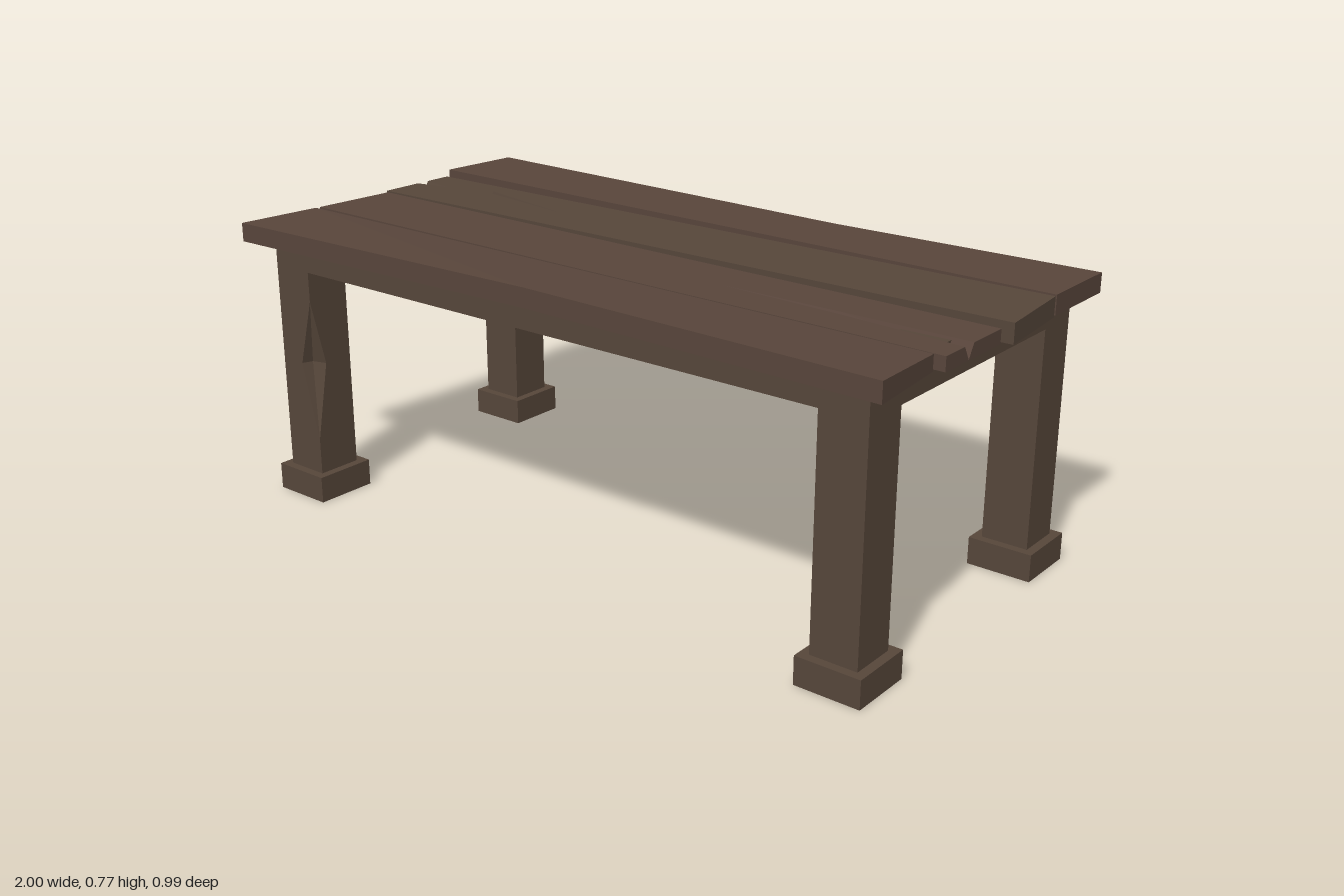
import * as THREE from 'three';

const mat = (color) => new THREE.MeshStandardMaterial({ color, flatShading: true });
const wood = mat(0x56463a);
const woodWarm = mat(0x58453b);

// Closed solid through matching rings of points; flatten maps a ring to its
// counter-clockwise outline as seen from the last ring's side.
function loft(rings, flatten) {
  const n = rings[0].length, index = [];
  for (let s = 0; s < rings.length - 1; s++) {
    for (let i = 0; i < n; i++) {
      const j = (i + 1) % n, a = s * n, b = a + n;
      index.push(a + i, a + j, b + j, a + i, b + j, b + i);
    }
  }
  const cap = (ring) => THREE.ShapeUtils.triangulateShape(ring.map(flatten), []);
  const last = (rings.length - 1) * n;
  for (const [a, b, c] of cap(rings[0])) index.push(c, b, a);
  for (const [a, b, c] of cap(rings.at(-1))) index.push(last + a, last + b, last + c);
  const g = new THREE.BufferGeometry();
  g.setAttribute('position', new THREE.Float32BufferAttribute(rings.flat().flatMap((p) => p.toArray()), 3));
  g.setIndex(index);
  const flat = g.toNonIndexed();
  flat.computeVertexNormals();
  return flat;
}

// Plank section: x and top height at the back and front edges, plus an
// optional V-shaped crack [back lip, front lip, depth].
function plankRing({ x, z, top, base = 0.7, crack }) {
  const at = (pair, zz) => THREE.MathUtils.mapLinear(zz, z[0], z[1], pair[0], pair[1]);
  const pt = (zz, y) => new THREE.Vector3(at(x, zz), y, zz);
  const ring = [pt(z[1], base), pt(z[0], base), pt(z[0], top[0])];
  if (crack) {
    const [a, b, depth] = crack, mid = (a + b) / 2;
    ring.push(pt(a, at(top, a)), pt(mid, at(top, mid) - depth), pt(b, at(top, b)));
  }
  ring.push(pt(z[1], top[1]));
  return ring;
}

const planks = [
  { name: 'backPlank', material: woodWarm, sections: [
    { x: [-0.97, -0.985], z: [-0.495, -0.258], top: [0.768, 0.768], base: 0.718 },
    { x: [0.24, 0.24], z: [-0.468, -0.258], top: [0.757, 0.757], base: 0.707 },
    { x: [0.972, 0.972], z: [-0.495, -0.258], top: [0.75, 0.75] },
  ] },
  { name: 'backMiddlePlank', material: wood, sections: [
    { x: [-0.982, -0.982], z: [-0.245, -0.007], top: [0.75, 0.75], crack: [-0.167, -0.128, 0.04] },
    { x: [-0.74, -0.74], z: [-0.245, -0.007], top: [0.75, 0.75], crack: [-0.192, -0.172, 0.025] },
    { x: [-0.43, -0.43], z: [-0.245, -0.007], top: [0.75, 0.75], crack: [-0.125, -0.125, 0] },
    { x: [0.975, 0.997], z: [-0.245, -0.007], top: [0.75, 0.75] , crack: [-0.125, -0.125, 0] },
  ] },
  { name: 'frontMiddlePlank', material: woodWarm, sections: [
    { x: [-0.965, -0.978], z: [0.005, 0.243], top: [0.75, 0.75], crack: [0.13, 0.13, 0] },
    { x: [0.3, 0.3], z: [0.005, 0.243], top: [0.74, 0.74], crack: [0.13, 0.13, 0] },
    { x: [0.65, 0.65], z: [0.005, 0.243], top: [0.738, 0.738], crack: [0.128, 0.145, 0.012] },
    { x: [0.972, 0.972], z: [0.005, 0.243], top: [0.735, 0.735], crack: [0.125, 0.165, 0.034] },
  ] },
  { name: 'frontPlank', material: woodWarm, sections: [
    { x: [-0.98, -1], z: [0.256, 0.49], top: [0.75, 0.75] },
    { x: [-0.01, -0.01], z: [0.256, 0.462], top: [0.745, 0.75] },
    { x: [0.95, 0.972], z: [0.256, 0.49], top: [0.739, 0.75] },
  ] },
];

// Leg whose inner front edge is hacked away around mid height.
function chippedLeg() {
  const rings = [[0.07, 0], [0.17, 0], [0.38, 1], [0.56, 0], [0.7, 0]].map(([y, k]) => [
    [-0.92, 0.447], [-0.797 - 0.05 * k, 0.447], [-0.797 - 0.04 * k, 0.447 - 0.028 * k],
    [-0.797, 0.447 - 0.04 * k], [-0.797, 0.324], [-0.92, 0.324],
  ].map(([x, z]) => new THREE.Vector3(x, y, z)));
  return loft(rings, (p) => new THREE.Vector2(p.x, -p.z));
}

export function createModel() {
  const group = new THREE.Group();
  const add = (name, geometry, material = wood, x = 0, y = 0, z = 0) => {
    const mesh = new THREE.Mesh(geometry, material);
    mesh.name = name;
    mesh.position.set(x, y, z);
    group.add(mesh);
  };
  const box = (name, w, h, d, x, y, z) => add(name, new THREE.BoxGeometry(w, h, d), wood, x, y, z);

  // Table top
  for (const { name, material, sections } of planks) {
    add(name, loft(sections.map(plankRing), (p) => new THREE.Vector2(-p.z, p.y)), material);
  }

  // Legs and block feet
  for (const sx of [-1, 1]) {
    for (const sz of [-1, 1]) {
      const label = (sz > 0 ? 'front' : 'back') + (sx > 0 ? 'Left' : 'Right');
      const x = sx * 0.8585, z = sz * 0.3855;
      if (sx < 0 && sz > 0) add(label + 'Leg', chippedLeg());
      else box(label + 'Leg', 0.123, 0.63, 0.123, x, 0.385, z);
      box(label + 'Foot', 0.17, 0.072, 0.17, x, 0.036, z);
    }
  }

  // Rails under the top, as thick as the legs
  for (const s of [-1, 1]) {
    box(s > 0 ? 'frontRail' : 'backRail', 1.594, 0.09, 0.123, 0, 0.685, s * 0.3855);
    box(s > 0 ? 'leftRail' : 'rightRail', 0.123, 0.09, 0.894, s * 0.8585, 0.685, 0);
  }
  return group;
}
